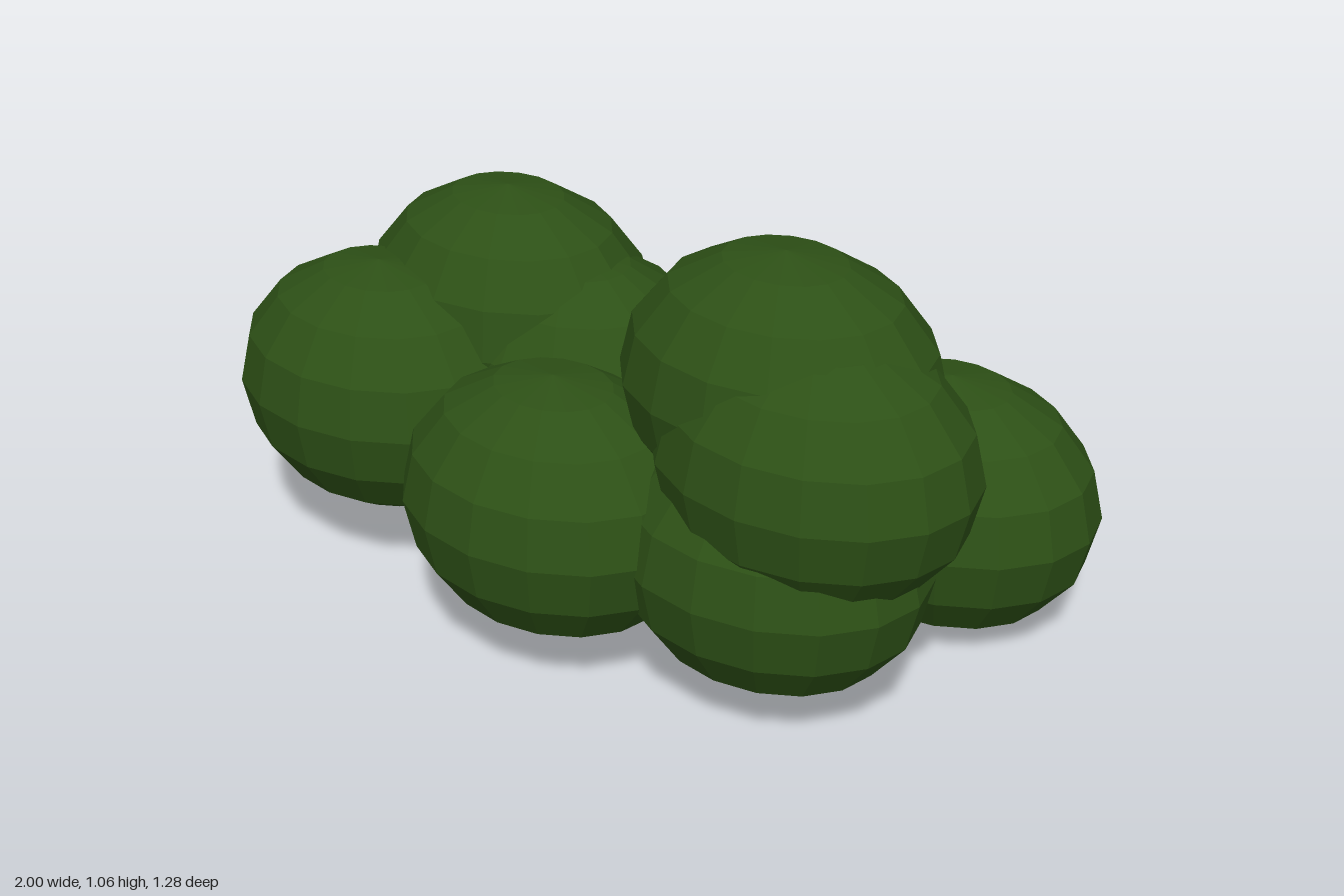
import * as THREE from 'three';

export function createModel() {
  const model = new THREE.Group();
  model.name = 'bush';

  const leafGreen = new THREE.MeshStandardMaterial({ color: 0x2d5016, flatShading: true });
  leafGreen.name = 'leafGreen';
  const barkBrown = new THREE.MeshStandardMaterial({ color: 0x3d2817, flatShading: true });
  barkBrown.name = 'barkBrown';

  // Foliage clumps: one faceted ellipsoid repeated
  const clumpGeometry = new THREE.SphereGeometry(1, 16, 8);
  const clumps = [
    ['rightFrontClump', -0.625, 0.46, 0.2],
    ['rightBackClump', -0.575, 0.38, -0.185],
    ['rightTopClump', -0.445, 0.605, -0.065],
    ['rightInnerClump', -0.255, 0.485, -0.07],
    ['frontClump', -0.005, 0.405, 0.33],
    ['leftTopClump', 0.455, 0.755, 0.12],
    ['leftUpperClump', 0.59, 0.64, 0.19],
    ['leftFrontClump', 0.495, 0.385, 0.205],
    ['leftBackClump', 0.62, 0.315, -0.335],
  ];
  for (const [name, x, y, z] of clumps) {
    const clump = new THREE.Mesh(clumpGeometry, leafGreen);
    clump.name = name;
    clump.position.set(x, y, z);
    clump.scale.set(0.375, 0.312, 0.306);
    model.add(clump);
  }

  // Short branches: inner end, then the end buried in the foliage
  const up = new THREE.Vector3(0, 1, 0);
  const branches = [
    [[0.25, 0.17, -0.15], [0.55, 0.27, -0.3]],
    [[0.2, 0.16, -0.03], [0.42, 0.32, 0.12]],
    [[0.26, 0.16, -0.08], [0.45, 0.36, 0.1]],
    [[0.24, 0.18, -0.03], [0.4, 0.6, 0.12]],
    [[0.07, 0.15, 0.14], [0.02, 0.34, 0.29]],
    [[-0.23, 0.15, 0.02], [-0.5, 0.3, 0.16]],
    [[-0.23, 0.15, -0.03], [-0.5, 0.29, -0.14]],
    [[-0.28, 0.17, -0.04], [-0.42, 0.5, -0.07]],
    [[-0.24, 0.16, -0.06], [-0.25, 0.4, -0.07]],
  ];
  for (const [from, to] of branches) {
    const a = new THREE.Vector3(...from);
    const b = new THREE.Vector3(...to);
    const branch = new THREE.Mesh(new THREE.CylinderGeometry(0.018, 0.022, a.distanceTo(b), 6), barkBrown);
    branch.name = 'branch';
    branch.position.copy(a).lerp(b, 0.5);
    branch.quaternion.setFromUnitVectors(up, b.sub(a).normalize());
    model.add(branch);
  }
  return model;
}
